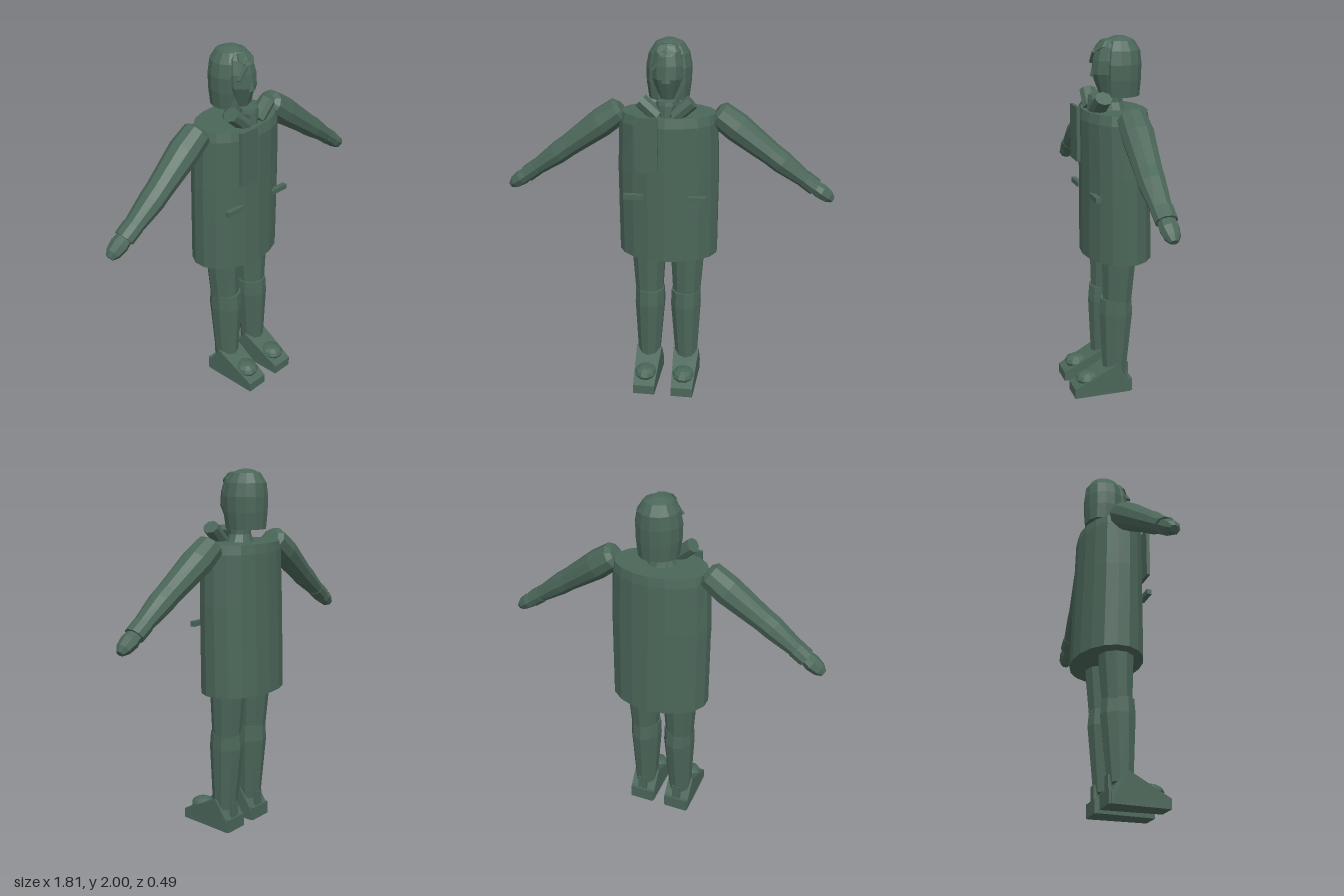
import * as THREE from 'three';

const green = new THREE.MeshStandardMaterial({ color: 0x4b6659, flatShading: true });
green.name = 'dark green';

function add(parent, name, geo, x = 0, y = 0, z = 0) {
  const m = new THREE.Mesh(geo, green);
  m.name = name;
  m.position.set(x, y, z);
  parent.add(m);
  return m;
}

// Closed loft of elliptical rings listed top to bottom: [y, rx, rz, cx, cz]
function loft(rings, sides) {
  const k = rings.length - 1;
  const geo = new THREE.CylinderGeometry(1, 1, 1, sides, k);
  const p = geo.attributes.position;
  for (let i = 0; i < p.count; i++) {
    const [y, rx, rz, cx = 0, cz = 0] = rings[Math.round((0.5 - p.getY(i)) * k)];
    p.setXYZ(i, cx + p.getX(i) * rx, y, cz + p.getZ(i) * rz);
  }
  geo.computeVertexNormals();
  return geo;
}

function addHead(g) {
  // Hair shell, cut flat where the face begins
  const hair = loft([
    [2.0, 0.03, 0.03, 0, -0.07], [1.98, 0.075, 0.08, 0, -0.07],
    [1.93, 0.108, 0.112, 0, -0.07], [1.86, 0.122, 0.122, 0, -0.067],
    [1.78, 0.12, 0.12, 0, -0.067], [1.69, 0.108, 0.11, 0, -0.07],
  ], 14);
  const p = hair.attributes.position;
  for (let i = 0; i < p.count; i++) p.setZ(i, Math.min(p.getZ(i), 0.02));
  hair.computeVertexNormals();
  add(g, 'hair', hair);
  add(g, 'face', loft([
    [1.985, 0.04, 0.04, 0, -0.02], [1.95, 0.07, 0.065, 0, -0.01],
    [1.88, 0.085, 0.075, 0, 0], [1.81, 0.082, 0.078, 0, 0.005],
    [1.75, 0.06, 0.06, 0, 0], [1.7, 0.04, 0.04, 0, 0],
  ], 10));
  const nose = add(g, 'nose', new THREE.ConeGeometry(0.025, 0.06, 4), 0, 1.825, 0.08);
  nose.scale.z = 0.5;
  const brow = add(g, 'brow', new THREE.BoxGeometry(0.015, 0.08, 0.02), -0.05, 1.89, 0.06);
  brow.rotation.z = -0.7;
  add(g, 'forelock', loft([
    [1.98, 0.045, 0.012, 0, 0.015], [1.95, 0.06, 0.015, 0, 0.035], [1.93, 0.03, 0.012, 0, 0.06],
  ], 6));
  add(g, 'neck', loft([[1.76, 0.055, 0.06, 0, -0.03], [1.66, 0.058, 0.06, 0, -0.03], [1.6, 0.09, 0.08, 0, -0.03]], 10));
}

function addCoat(g) {
  add(g, 'coat', loft([
    [1.62, 0.255, 0.17, 0, -0.04], [1.57, 0.268, 0.18, 0, -0.038],
    [1.3, 0.278, 0.183, 0, -0.043], [0.81, 0.277, 0.192, 0, -0.05],
  ], 18));
  add(g, 'chestPanel', new THREE.BoxGeometry(0.12, 0.3, 0.02), -0.095, 1.48, 0.147);
  add(g, 'collarKnot', loft([[1.7, 0.05, 0.04, 0, 0.06], [1.68, 0.055, 0.045, 0, 0.06], [1.62, 0.03, 0.03, 0, 0.08]], 8));
  for (const s of [-1, 1]) {
    const lapel = add(g, 'lapel', new THREE.CylinderGeometry(0.04, 0.04, 0.12, 8), s * 0.09, 1.66, 0.065);
    lapel.rotation.set(-0.1, 0, -s * 0.85);
    lapel.scale.z = 1.2;
    add(g, 'pocketFlap', new THREE.BoxGeometry(0.115, 0.028, 0.028), s * 0.168, 1.18, 0.12);
  }
}

// Arm hangs along its own -y, then swings outward
function addArm(g, s) {
  const arm = new THREE.Group();
  arm.name = s > 0 ? 'leftArm' : 'rightArm';
  arm.position.set(s * 0.285, 1.6, -0.035);
  arm.rotation.z = s * 0.945;
  g.add(arm);
  add(arm, 'upperArm', loft([
    [0.04, 0.045, 0.05, 0, -0.01], [0.02, 0.073, 0.08, 0, -0.01],
    [-0.1, 0.08, 0.088, 0, -0.008], [-0.335, 0.062, 0.073, 0, 0.008],
  ], 10));
  add(arm, 'forearm', loft([
    [-0.32, 0.062, 0.073, 0, 0.008], [-0.4, 0.062, 0.072, 0, 0.012], [-0.57, 0.043, 0.055, 0, 0.014],
  ], 10));
  add(arm, 'cuff', loft([[-0.555, 0.047, 0.06, 0, 0.012], [-0.63, 0.047, 0.058, 0, 0.012]], 10));
  add(arm, 'hand', loft([
    [-0.62, 0.035, 0.045, 0, 0.012], [-0.67, 0.043, 0.052, 0, 0.012],
    [-0.72, 0.036, 0.042, 0, 0.012], [-0.75, 0.018, 0.022, 0, 0.012],
  ], 8));
}

function addLeg(g, s) {
  const leg = new THREE.Group();
  leg.name = s > 0 ? 'leftLeg' : 'rightLeg';
  g.add(leg);
  add(leg, 'thigh', loft([[0.84, 0.1, 0.1, s * 0.11, -0.035], [0.55, 0.08, 0.083, s * 0.108, -0.025]], 10));
  add(leg, 'shin', loft([
    [0.57, 0.085, 0.09, s * 0.104, -0.02], [0.48, 0.088, 0.098, s * 0.104, -0.02],
    [0.12, 0.064, 0.07, s * 0.11, -0.01],
  ], 10));
  // Wedge-shaped shoe, narrowing toward the toe
  const side = new THREE.Shape([[-0.085, 0], [0.243, 0], [0.243, 0.055], [0, 0.18], [-0.085, 0.06]]
    .map(([z, y]) => new THREE.Vector2(z, y)));
  const shoe = new THREE.ExtrudeGeometry(side, { depth: 0.15, bevelEnabled: false });
  shoe.translate(0, 0, -0.075).rotateY(-Math.PI / 2);
  const p = shoe.attributes.position;
  for (let i = 0; i < p.count; i++) if (p.getZ(i) > 0.1) p.setX(i, p.getX(i) * 0.82);
  shoe.computeVertexNormals();
  add(leg, 'shoe', shoe, s * 0.11);
  const toe = add(leg, 'toeCap', new THREE.SphereGeometry(1, 10, 6), s * 0.11, 0.095, 0.15);
  toe.scale.set(0.065, 0.04, 0.075);
  add(leg, 'heel', new THREE.BoxGeometry(0.14, 0.075, 0.07), s * 0.11, 0.0375, -0.06);
  add(leg, 'heelTab', new THREE.BoxGeometry(0.05, 0.12, 0.02), s * 0.11, 0.1, -0.075);
}

export function createModel() {
  const g = new THREE.Group();
  g.name = 'standingFigure';
  addHead(g);
  addCoat(g);
  for (const s of [-1, 1]) {
    addArm(g, s);
    addLeg(g, s);
  }
  return g;
}
